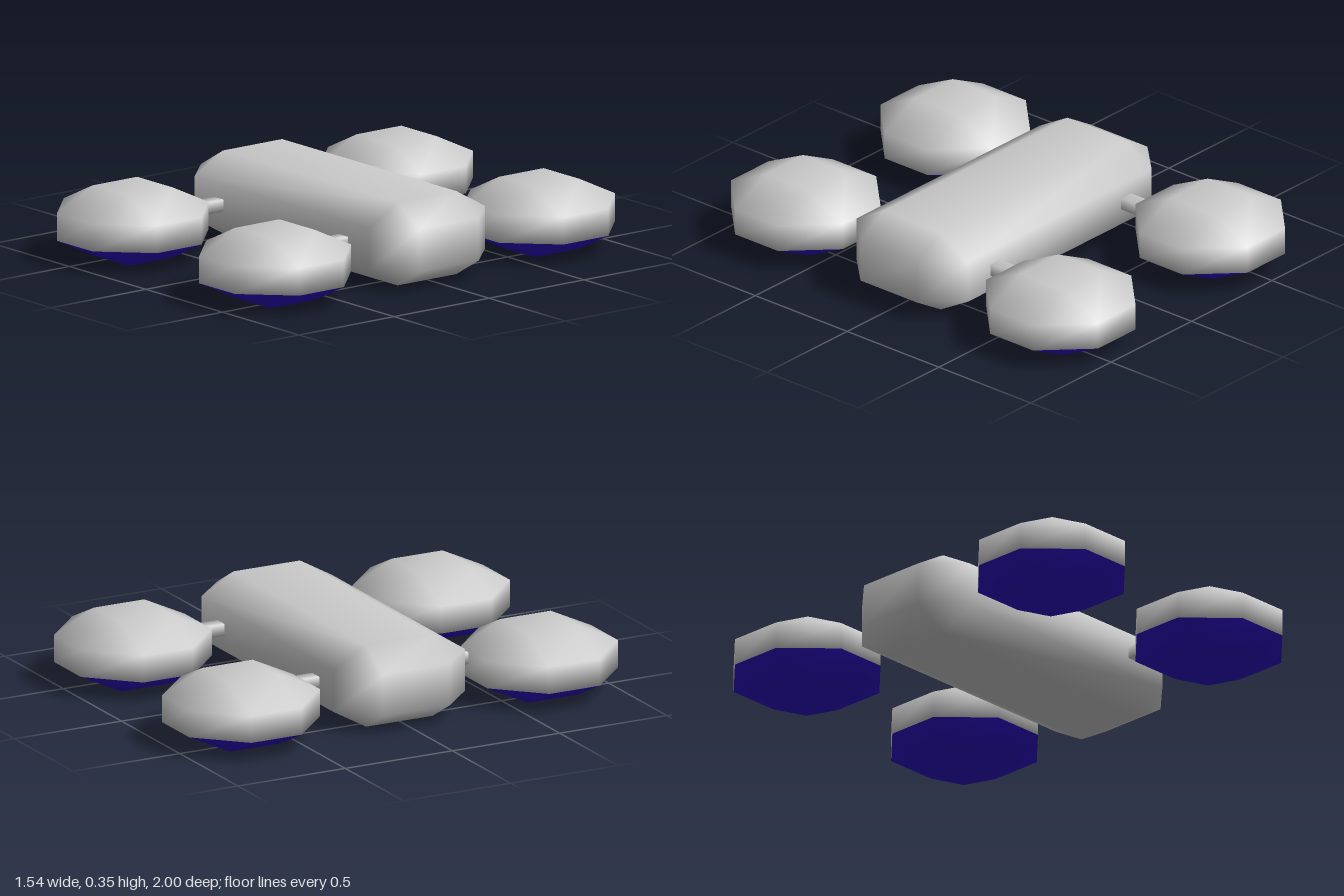
import * as THREE from 'three';
import { mergeVertices } from 'three/addons/utils/BufferGeometryUtils.js';

const UNDERSIDE_INDICES = 66; // bottom cap + lower bevel

// Smooth-shaded box with bevelled edges and corners, lofted from four rings of eight points
function bevelledBox(w, h, d, bx, by, bz) {
  const x = w / 2, y = h / 2, z = d / 2, xi = x - bx, yi = y - by, zi = z - bz;
  const ring = (ox, oz, level) => [
    [ox, zi], [xi, oz], [-xi, oz], [-ox, zi],
    [-ox, -zi], [-xi, -oz], [xi, -oz], [ox, -zi],
  ].flatMap(([px, pz]) => [px, level, pz]);
  const points = [...ring(xi, zi, -y), ...ring(x, z, -yi), ...ring(x, z, yi), ...ring(xi, zi, y)];

  const index = [];
  for (let j = 1; j < 7; j++) index.push(0, j, j + 1); // bottom cap
  for (let r = 0; r < 3; r++) {
    for (let j = 0; j < 8; j++) {
      const a = r * 8 + j, b = r * 8 + (j + 1) % 8;
      index.push(a, a + 8, b, b, a + 8, b + 8);
    }
  }
  for (let j = 1; j < 7; j++) index.push(24, 24 + j + 1, 24 + j); // top cap

  const geometry = new THREE.BufferGeometry();
  geometry.setAttribute('position', new THREE.Float32BufferAttribute(points, 3));
  geometry.setIndex(index);
  const merged = mergeVertices(geometry, 1e-5);
  merged.computeVertexNormals();
  return merged;
}

// Part of an indexed geometry that keeps its shared normals
function slice(geometry, start, end) {
  const part = geometry.clone();
  part.setIndex(Array.from(geometry.index.array.slice(start, end)));
  return part;
}

export function createModel() {
  const model = new THREE.Group();
  model.name = 'fourPodCraft';
  const grey = new THREE.MeshStandardMaterial({ color: 0xcccccc });
  const blue = new THREE.MeshStandardMaterial({ color: 0x2a0abf });

  const add = (parent, name, geometry, material, x = 0, y = 0, z = 0) => {
    const mesh = new THREE.Mesh(geometry, material);
    mesh.name = name;
    mesh.position.set(x, y, z);
    parent.add(mesh);
    return mesh;
  };

  // Central hull
  add(model, 'hull', bevelledBox(1.43, 0.35, 0.61, 0.145, 0.085, 0.15), grey, 0.025, 0.178, 0);

  // Struts running through the hull to the pods, with softened normals
  const box = new THREE.BoxGeometry(0.062, 0.05, 0.82);
  box.deleteAttribute('normal');
  box.deleteAttribute('uv');
  const strut = mergeVertices(box);
  strut.computeVertexNormals();
  add(model, 'leftStrut', strut, grey, 0.425, 0.18, 0);
  add(model, 'rightStrut', strut, grey, -0.387, 0.18, 0);

  // Four pods with coloured undersides
  const podShape = bevelledBox(0.61, 0.295, 0.61, 0.188, 0.09, 0.188);
  const underside = slice(podShape, 0, UNDERSIDE_INDICES);
  const shell = slice(podShape, UNDERSIDE_INDICES, podShape.index.count);
  for (const sx of [1, -1]) {
    for (const sz of [1, -1]) {
      const pod = new THREE.Group();
      pod.name = (sz > 0 ? 'front' : 'back') + (sx > 0 ? 'Left' : 'Right') + 'Pod';
      pod.position.set(sx * 0.465, 0.153, sz * 0.695);
      add(pod, 'podShell', shell, grey);
      add(pod, 'podUnderside', underside, blue);
      model.add(pod);
    }
  }
  return model;
}
